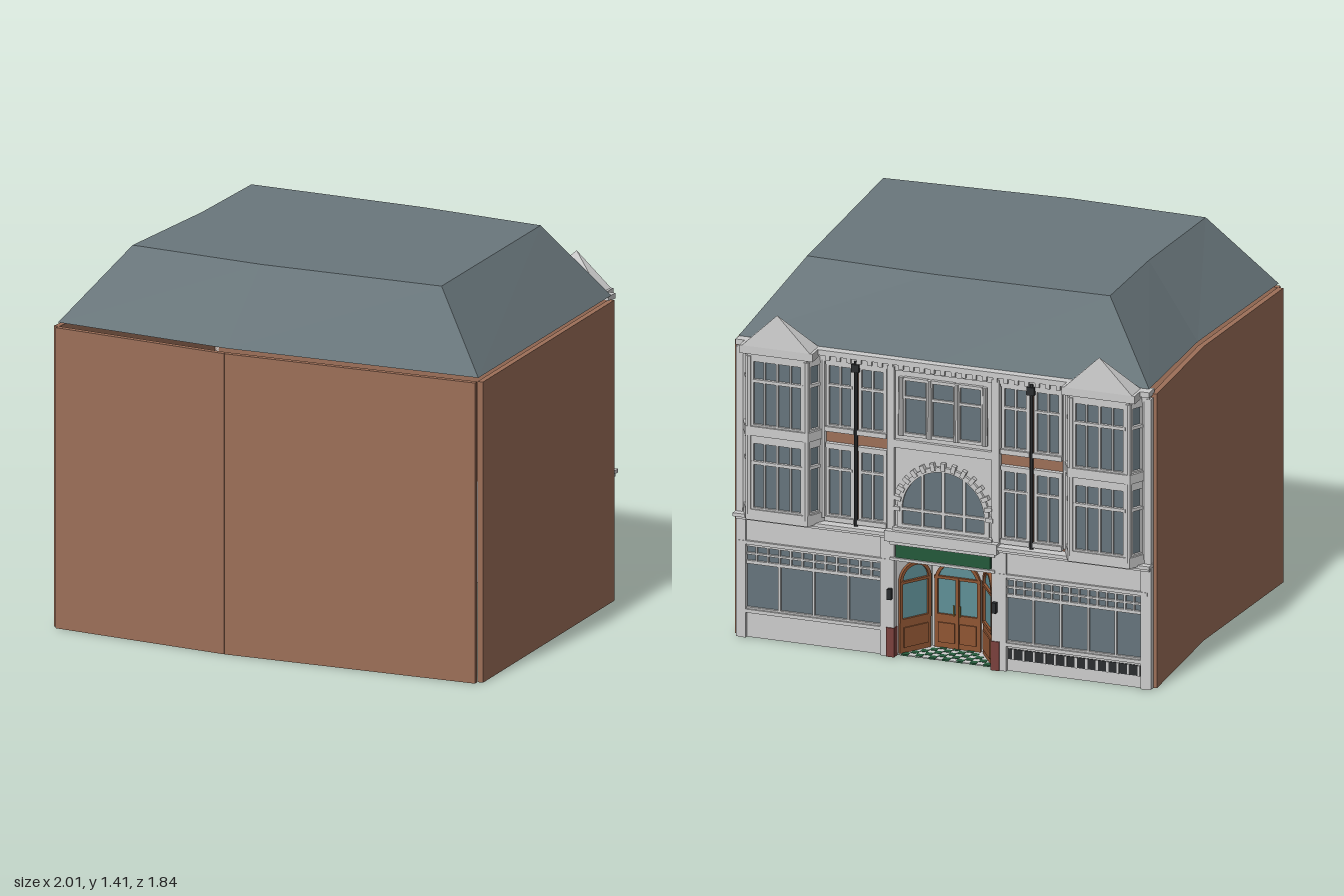
import * as THREE from 'three';

const mat = (color) => new THREE.MeshStandardMaterial({ color, flatShading: true, side: THREE.DoubleSide });
const stone = mat(0xcccccc), brick = mat(0x9c6f58), slate = mat(0x6a777c), glass = mat(0x66747c);
const wood = mat(0x8f5533), doorGlass = mat(0x5f8f96), green = mat(0x24593a), dark = mat(0x2b2d2f);
const marble = mat(0x7a403c), gold = mat(0xb59a4a);

function add(parent, name, geo, material, x = 0, y = 0, z = 0) {
  const m = new THREE.Mesh(geo, material);
  m.name = name;
  m.position.set(x, y, z);
  parent.add(m);
  return m;
}
// box from x0..x1, y0..y1, z0..z1
const box = (p, name, material, x0, x1, y0, y1, z0, z1) =>
  add(p, name, new THREE.BoxGeometry(x1 - x0, y1 - y0, z1 - z0), material, (x0 + x1) / 2, (y0 + y1) / 2, (z0 + z1) / 2);

// group whose x runs from p to q on the ground and whose z points outward
function face(parent, name, p, q) {
  const g = new THREE.Group(), dx = q[0] - p[0], dz = q[1] - p[1];
  g.name = name;
  g.position.set((p[0] + q[0]) / 2, 0, (p[1] + q[1]) / 2);
  g.rotation.y = Math.atan2(-dz, dx);
  g.userData.len = Math.hypot(dx, dz);
  parent.add(g);
  return g;
}
// horizontal slab with a plan outline [x, z]
function slab(p, name, material, pts, y0, y1) {
  const s = new THREE.Shape(pts.map(([x, z]) => new THREE.Vector2(x, -z)));
  const g = new THREE.ExtrudeGeometry(s, { depth: y1 - y0, bevelEnabled: false }).rotateX(-Math.PI / 2);
  return add(p, name, g, material, 0, y0, 0);
}
// framed window with a grid of bars
function win(p, x0, x1, y0, y1, z, cols, rows, frame = stone, pane = glass, t = 0.012) {
  const g = new THREE.Group();
  g.name = 'window';
  p.add(g);
  box(g, 'pane', pane, x0, x1, y0, y1, z, z + 0.004);
  for (let i = 0; i <= cols; i++) {
    const x = x0 + (x1 - x0) * i / cols, w = i % cols ? t * 0.35 : t * 0.5;
    box(g, 'upright', frame, x - w, x + w, y0, y1, z, z + 0.014);
  }
  for (let i = 0; i <= rows; i++) {
    const y = y0 + (y1 - y0) * i / rows, w = i % rows ? t * 0.35 : t * 0.5;
    box(g, 'rail', frame, x0, x1, y - w, y + w, z, z + 0.014);
  }
}
function archShape(C, r, y0, spring) {
  const s = new C();
  s.moveTo(-r, y0);
  s.lineTo(r, y0);
  s.lineTo(r, spring);
  s.absarc(0, spring, r, 0, Math.PI, false);
  s.lineTo(-r, y0);
  return s;
}
// round-headed frame with a pane behind it
function arch(p, r, t, y0, spring, z, depth, frame, pane) {
  const s = archShape(THREE.Shape, r, y0, spring);
  s.holes.push(archShape(THREE.Path, r - t, y0 + t, spring));
  add(p, 'archFrame', new THREE.ExtrudeGeometry(s, { depth, bevelEnabled: false, curveSegments: 16 }), frame, 0, 0, z);
  add(p, 'archPane', new THREE.ShapeGeometry(archShape(THREE.Shape, r - t, y0 + t, spring), 16), pane, 0, 0, z + 0.003);
}

function buildRoof(root) {
  const base = [[-.43, -.86], [-.645, -.38], [-.985, .205], [-.38, .53], [.525, .895], [.98, -.175], [.3, -.51]];
  const top = [[-.31, -.63], [-.48, -.27], [-.72, .16], [-.26, .40], [.39, .67], [.73, -.12], [.3, -.35]];
  const pos = [], n = base.length;
  const put = ([x, z], y) => pos.push(x, y, z);
  for (let i = 0; i < n; i++) {
    const j = (i + 1) % n;
    put(base[i], 1.13); put(base[j], 1.13); put(top[j], 1.405);
    put(base[i], 1.13); put(top[j], 1.405); put(top[i], 1.405);
  }
  for (const [ring, y, up] of [[top, 1.405, true], [base, 1.13, false]]) {
    const tris = THREE.ShapeUtils.triangulateShape(ring.map(([x, z]) => new THREE.Vector2(x, -z)), []);
    for (const t of tris) (up ? t : [...t].reverse()).forEach((k) => put(ring[k], y));
  }
  const g = new THREE.BufferGeometry();
  g.setAttribute('position', new THREE.Float32BufferAttribute(pos, 3));
  g.computeVertexNormals();
  add(root, 'roof', g, slate);
}

// two-storey canted bay with a pointed gable
function buildBay(f, cx) {
  const bay = new THREE.Group();
  bay.name = 'bayWindow';
  bay.position.x = cx;
  f.add(bay);
  const plan = (e) => [[-.15 - e, 0], [-.11 - e, .07 + e], [.11 + e, .07 + e], [.15 + e, 0]];
  const levels = [[.47, .51, .008], [.765, .79, .003], [.79, .825, .01], [1.075, 1.1, .003]];
  for (const [y0, y1, e] of levels) slab(bay, 'bayBand', stone, plan(e), y0, y1);
  slab(bay, 'bayCore', stone, plan(-.012), .5, 1.09);
  const p = plan(0);
  for (let i = 0; i < 3; i++) {
    const g = face(bay, 'baySide', p[i], p[i + 1]), h = g.userData.len / 2;
    for (const [y0, y1] of [[.51, .765], [.825, 1.075]]) {
      win(g, -h + .014, h - .014, y0, y1, -.012, i === 1 ? 2 : 1, 1);
      box(g, 'transom', stone, -h + .01, h - .01, y1 - .085, y1 - .073, -.01, .004);
      if (i === 1) for (const x of [-.05, .05]) box(g, 'glazingBar', stone, x - .003, x + .003, y0, y1, -.01, .002);
    }
  }
  for (const [x, z] of p) add(bay, 'bayPost', new THREE.CylinderGeometry(.013, .013, .6, 8), stone, x, .79, Math.max(z - .004, .006));
  box(bay, 'bayCornice', stone, -.14, .14, 1.1, 1.13, 0, .085);
  // gable: front triangle leaning on two slopes
  const g = new THREE.BufferGeometry();
  const L = [-.13, 0, .085], R = [.13, 0, .085], T = [0, .125, .072], BL = [-.13, 0, 0], BR = [.13, 0, 0];
  g.setAttribute('position', new THREE.Float32BufferAttribute(
    [L, R, T, R, BR, T, BR, BL, T, BL, L, T].flat(), 3));
  g.computeVertexNormals();
  add(bay, 'gable', g, stone, 0, 1.13, 0);
}

function buildShopfront(f, x0, x1, grille) {
  const s = new THREE.Group();
  s.name = 'shopfront';
  f.add(s);
  box(s, 'stallRiser', stone, x0, x1, 0, .1, 0, .012);
  box(s, 'sill', stone, x0, x1, .095, .108, 0, .024);
  if (grille) {
    box(s, 'grille', dark, x0 + .03, x1 - .03, .045, .085, .008, .015);
    for (let x = x0 + .05; x < x1 - .03; x += .04) box(s, 'grilleBar', stone, x - .004, x + .004, .045, .085, .01, .019);
  }
  win(s, x0 + .02, x1 - .02, .108, .285, .002, grille ? 5 : 4, 1);
  win(s, x0 + .02, x1 - .02, .285, .35, .002, grille ? 15 : 12, 2, stone, glass, .01);
  for (const x of [x0 + .012, x1 - .012]) box(s, 'pilaster', stone, x - .014, x + .014, 0, .45, 0, .024);
  box(s, 'fascia', stone, x0, x1, .355, .45, 0, .016);
  box(s, 'fasciaRail', stone, x0, x1, .355, .368, 0, .026);
}

function buildEntrance(f) {
  const e = new THREE.Group();
  e.name = 'entrance';
  f.add(e);
  const p = [[-.19, 0], [-.1, -.13], [.1, -.13], [.19, 0]];
  for (let i = 0; i < 3; i++) {
    const g = face(e, i === 1 ? 'doubleDoor' : 'sideScreen', p[i], p[i + 1]), h = g.userData.len / 2, r = h - .012;
    box(g, 'screenWall', stone, -h, h, 0, .37, -.012, -.001);
    arch(g, r, .012, .12, .34 - r, 0, .012, wood, doorGlass);
    box(g, 'doorPanel', wood, -r, r, 0, .125, 0, .01);
    box(g, 'transom', wood, -r, r, .265, .275, 0, .013);
    for (const [a, b] of i === 1 ? [[-r + .015, -.01], [.01, r - .015]] : [[-r + .015, r - .015]])
      box(g, 'raisedPanel', wood, a, b, .025, .1, .01, .015);
    if (i === 1) {
      box(g, 'meetingStile', wood, -.006, .006, 0, .27, 0, .014);
      for (const x of [-.012, .012]) box(g, 'handle', gold, x - .002, x + .002, .13, .17, .014, .02);
    }
  }
  slab(e, 'soffit', stone, p, .365, .375);
  slab(e, 'floor', stone, p, 0, .004);
  // chequered tiles kept inside the splayed recess
  const t = .026;
  for (let j = 0; j < 5; j++) {
    const z = -t * (j + .5), lim = .19 - .09 * (j + 1) / 5;
    for (let i = -7; i <= 7; i++)
      if ((i + j) % 2 === 0 && Math.abs(i * t) + t / 2 <= lim + .004)
        box(e, 'tile', green, i * t - t / 2, i * t + t / 2, -.0005, .0055, z - t / 2, z + t / 2);
  }
  for (const x of [-.2, .2]) {
    box(e, 'pierBase', marble, x - .016, x + .016, 0, .11, 0, .03);
    box(e, 'pier', stone, x - .014, x + .014, .11, .45, 0, .026);
    box(e, 'lamp', dark, x - .008, x + .008, .22, .26, .026, .042);
  }
  box(e, 'signBoard', green, -.18, .18, .378, .432, 0, .026);
  for (const y of [.374, .434]) box(e, 'signRail', stone, -.2, .2, y - .005, y + .005, 0, .034);
  box(e, 'signHood', stone, -.215, .215, .445, .485, 0, .05);
}

function buildCentre(f) {
  const c = new THREE.Group();
  c.name = 'centrePanel';
  f.add(c);
  box(c, 'centreWall', stone, -.2, .2, .47, 1.1, 0, .012);
  arch(c, .175, .018, .49, .565, .012, .012, stone, glass);
  for (let i = 0; i <= 14; i++) {
    const a = Math.PI * i / 14;
    const v = add(c, 'voussoir', new THREE.BoxGeometry(.028, .016, .02), stone, .178 * Math.cos(a), .565 + .178 * Math.sin(a), .02);
    v.rotation.z = a;
  }
  for (const x of [-.08, 0, .08]) box(c, 'archMullion', stone, x - .005, x + .005, .5, .565 + Math.sqrt(.16 ** 2 - x * x), .013, .024);
  box(c, 'archTransom', stone, -.16, .16, .56, .57, .013, .024);
  box(c, 'archSill', stone, -.19, .19, .478, .496, 0, .035);
  box(c, 'stringCourse', stone, -.2, .2, .795, .825, 0, .026);
  for (const x of [-.105, 0, .105]) {
    win(c, x - .045, x + .045, .85, 1.06, .013, 1, 1);
    box(c, 'transom', stone, x - .045, x + .045, .985, .995, .013, .025);
  }
  for (const x of [-.16, -.0525, .0525, .16])
    add(c, 'column', new THREE.CylinderGeometry(.009, .011, .22, 10), stone, x, .955, .024);
  for (const x of [-.2, .2]) box(c, 'centrePilaster', stone, x - .014, x + .014, .48, 1.1, 0, .026);
}

function buildFacade(root) {
  const f = face(root, 'facade', [.98, -.18], [-.44, -.87]);
  box(f, 'upperWall', brick, -.785, .785, .375, 1.115, -.02, 0);
  for (const s of [-1, 1]) {
    const a = s < 0 ? -.785 : .19;
    box(f, 'lowerWall', stone, a, a + .595, 0, .375, -.02, 0);
    buildShopfront(f, s < 0 ? -.78 : .215, s < 0 ? -.215 : .78, s > 0);
    buildBay(f, s * .615);
    // paired sash windows either side of a drainpipe
    for (const [y0, y1] of [[.5, .76], [.84, 1.075]]) for (const d of [-.062, .062]) {
      const x = s * .335 + d;
      win(f, x - .047, x + .047, y0, y1, .001, 2, 1);
      box(f, 'transom', stone, x - .047, x + .047, y1 - .085, y1 - .075, .001, .016);
      box(f, 'windowSill', stone, x - .055, x + .055, y0 - .018, y0, 0, .025);
      box(f, 'lintel', stone, x - .055, x + .055, y1, y1 + .016, 0, .018);
    }
    add(f, 'drainpipe', new THREE.CylinderGeometry(.008, .008, .63, 8), dark, s * .335, .785, .018);
    box(f, 'hopper', dark, s * .335 - .014, s * .335 + .014, 1.06, 1.09, 0, .03);
    box(f, 'endPier', stone, s * .78 - .012, s * .78 + .012, 0, 1.1, -.02, .02);
  }
  box(f, 'shopCornice', stone, -.79, .79, .45, .462, 0, .032);
  box(f, 'shopCorniceCap', stone, -.795, .795, .462, .475, 0, .045);
  box(f, 'eavesFrieze', stone, -.785, .785, 1.085, 1.11, 0, .018);
  box(f, 'eavesCornice', stone, -.79, .79, 1.11, 1.13, -.02, .032);
  for (let i = -11; i <= 11; i++) box(f, 'dentil', stone, i * .04 - .008, i * .04 + .008, 1.092, 1.11, .018, .028);
  buildEntrance(f);
  buildCentre(f);
}

export function createModel() {
  const root = new THREE.Group();
  root.name = 'cornerShopBuilding';
  // plain brick walls, open below
  const runs = [[[-.44, -.865], [-.65, -.38], [-.985, .205]], [[-.985, .205], [-.38, .53], [.52, .893]], [[.525, .89], [.975, -.175]]];
  for (const run of runs) for (let i = 0; i + 1 < run.length; i++) {
    const w = face(root, 'brickWall', run[i], run[i + 1]), h = w.userData.len / 2;
    box(w, 'brickSlab', brick, -h, h, 0, 1.115, -.003, .018);
  }
  buildRoof(root);
  buildFacade(root);
  return root;
}
